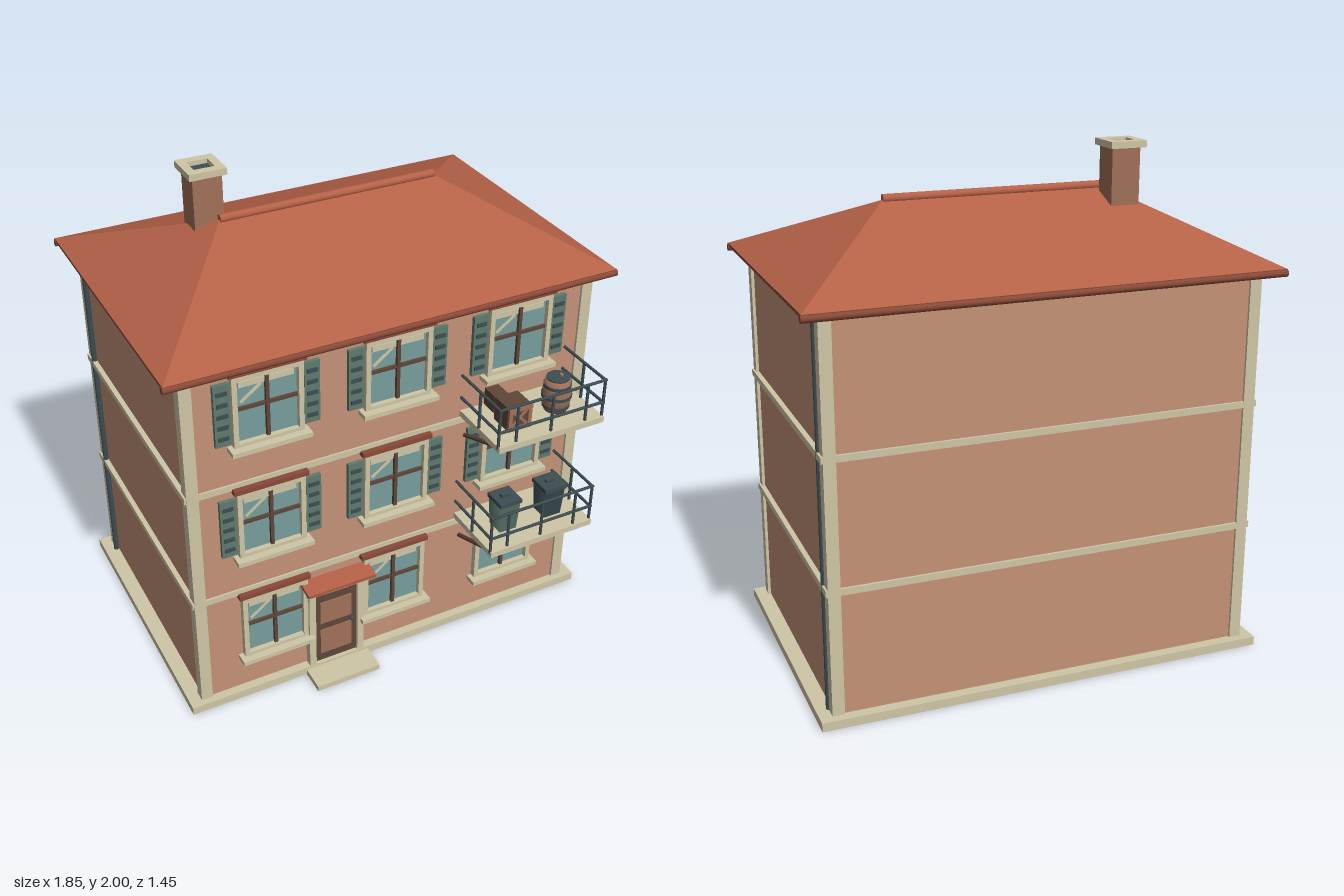
import * as THREE from 'three';

const mat = (name, color, side = THREE.FrontSide) => {
  const m = new THREE.MeshStandardMaterial({ color, side });
  m.name = name;
  return m;
};

export function createModel() {
  const M = {
    wall: mat('wall plaster', 0xc59277),
    trim: mat('cream trim', 0xcfc6a6),
    roof: mat('roof tile', 0xb56147),
    glass: mat('window glass', 0x789c9c),
    green: mat('shutter green', 0x5d7a6d),
    slate: mat('slate metal', 0x3d4e53),
    wood: mat('dark wood', 0x5e4638),
    brick: mat('brick', 0xa07058),
    rust: mat('rust red', 0x8a4a38),
    soffit: mat('eave brown', 0x4a3a32),
  };
  const house = new THREE.Group();
  house.name = 'house';

  const add = (parent, name, geo, m) => {
    const mesh = new THREE.Mesh(geo, m);
    mesh.name = name;
    parent.add(mesh);
    return mesh;
  };
  // Box given by its extents on each axis
  const box = (parent, name, m, x0, x1, y0, y1, z0, z1) => {
    const b = add(parent, name, new THREE.BoxGeometry(x1 - x0, y1 - y0, z1 - z0), m);
    b.position.set((x0 + x1) / 2, (y0 + y1) / 2, (z0 + z1) / 2);
    return b;
  };
  const group = (name, x, y, z) => {
    const g = new THREE.Group();
    g.name = name;
    g.position.set(x, y, z);
    house.add(g);
    return g;
  };
  // Round bar between two points
  const bar = (parent, name, m, a, b, r, sides = 8) => {
    const p = new THREE.Vector3(...a), q = new THREE.Vector3(...b);
    const t = add(parent, name, new THREE.CylinderGeometry(r, r, p.distanceTo(q), sides), m);
    t.position.copy(p).add(q).multiplyScalar(0.5);
    t.quaternion.setFromUnitVectors(new THREE.Vector3(0, 1, 0), q.sub(p).normalize());
    return t;
  };

  // Body, plinth, floor bands, corner posts, downpipes
  box(house, 'plinth', M.trim, -0.9, 0.9, 0, 0.035, -0.693, 0.476);
  box(house, 'walls', M.wall, -0.84, 0.84, 0.03, 1.545, -0.65, 0.44);
  for (const [y0, y1] of [[0.512, 0.538], [1.016, 1.042]])
    box(house, 'floorBand', M.trim, -0.86, 0.86, y0, y1, -0.66, 0.448);
  box(house, 'cornice', M.trim, -0.855, 0.855, 1.518, 1.537, -0.658, 0.446);
  for (const s of [-1, 1]) {
    const [xa, xb] = s > 0 ? [0.805, 0.852] : [-0.852, -0.805];
    box(house, 'frontCorner', M.trim, xa, xb, 0.035, 1.53, 0.403, 0.45);
    box(house, 'backCorner', M.trim, xa, xb, 0.035, 1.53, -0.66, -0.613);
    bar(house, 'downpipe', M.slate, [s * 0.849, 0.035, -0.598], [s * 0.849, 1.53, -0.598], 0.012);
  }

  // Hipped roof
  const L = [-0.92, 1.565, 0.5], R = [0.92, 1.565, 0.5], BL = [-0.92, 1.565, -0.72], BR = [0.92, 1.565, -0.72];
  const P = [-0.45, 1.81, -0.11], Q = [0.45, 1.81, -0.11];
  const tri = [L, R, Q, L, Q, P, BR, BL, P, BR, P, Q, BL, L, P, R, BR, Q];
  const hip = new THREE.BufferGeometry();
  hip.setAttribute('position', new THREE.Float32BufferAttribute(tri.flat(), 3));
  hip.computeVertexNormals();
  add(house, 'roof', hip, M.roof);
  box(house, 'roofEdge', M.rust, -0.92, 0.92, 1.553, 1.565, -0.72, 0.5);
  box(house, 'soffit', M.soffit, -0.905, 0.905, 1.535, 1.553, -0.705, 0.485);
  bar(house, 'ridgeTile', M.roof, [-0.452, 1.814, -0.11], [0.452, 1.814, -0.11], 0.017, 12);
  for (const z of [0.493, -0.713])
    bar(house, 'gutter', M.rust, [-0.923, 1.549, z], [0.923, 1.549, z], 0.015, 10);

  // Chimney with open cap
  box(house, 'chimney', M.brick, -0.537, -0.42, 1.56, 1.978, -0.252, -0.142);
  box(house, 'flue', M.slate, -0.525, -0.432, 1.976, 1.982, -0.245, -0.15);
  for (const [a, b, c, d] of [[-0.553, -0.405, -0.163, -0.126], [-0.553, -0.405, -0.275, -0.238],
    [-0.553, -0.519, -0.238, -0.163], [-0.438, -0.405, -0.238, -0.163]])
    box(house, 'chimneyCap', M.trim, a, b, 1.974, 2, c, d);

  // Windows; local origin at the glass centre on the wall face
  const windowAt = (x, y, shutters) => {
    const g = group('window', x, y, 0.44);
    box(g, 'pane', M.glass, -0.122, 0.122, -0.135, 0.135, 0, 0.005);
    for (const s of [-1, 1]) {
      const [a, b] = s > 0 ? [0.118, 0.138] : [-0.138, -0.118];
      box(g, 'jamb', M.trim, a, b, -0.15, 0.152, 0, 0.025);
    }
    box(g, 'frameTop', M.trim, -0.138, 0.138, 0.13, 0.153, 0, 0.025);
    box(g, 'frameBottom', M.trim, -0.138, 0.138, -0.15, -0.13, 0, 0.025);
    box(g, 'sill', M.trim, -0.157, 0.157, -0.163, -0.144, 0, 0.055);
    box(g, 'lintel', M.rust, -0.15, 0.15, 0.153, 0.173, 0, 0.03);
    box(g, 'mullion', M.wood, -0.007, 0.007, -0.13, 0.13, 0.003, 0.018);
    box(g, 'glazingBar', M.wood, -0.118, 0.118, 0.003, 0.016, 0.003, 0.016);
    box(g, 'blind', M.trim, -0.107, 0.107, 0.094, 0.117, 0.004, 0.009);
    const shine = box(g, 'reflection', M.trim, -0.05, 0.05, -0.006, 0.006, 0.004, 0.008);
    shine.position.set(-0.06, 0.062, 0.006);
    shine.rotation.z = 0.65;
    if (!shutters) return;
    for (const s of [-1, 1]) {
      const c = s * 0.174;
      box(g, 'shutter', M.green, c - 0.031, c + 0.031, -0.128, 0.13, 0, 0.016);
      for (let i = -2; i <= 2; i++)
        box(g, 'slat', M.slate, c - 0.021, c + 0.021, i * 0.047 - 0.008, i * 0.047 + 0.008, 0.014, 0.021);
    }
  };
  for (const x of [-0.525, 0, 0.525])
    for (let row = 0; row < 3; row++) windowAt(x, 0.346 + row * 0.504, row > 0);

  // Door, step and canopy
  const door = group('door', -0.264, 0, 0.44);
  box(door, 'step', M.trim, -0.14, 0.14, 0, 0.024, 0, 0.143);
  box(door, 'doorLeaf', M.wood, -0.095, 0.095, 0.035, 0.4, 0, 0.02);
  box(door, 'upperPanel', M.brick, -0.07, 0.07, 0.235, 0.345, 0.018, 0.025);
  box(door, 'lowerPanel', M.brick, -0.07, 0.07, 0.075, 0.2, 0.018, 0.025);
  const knob = add(door, 'knob', new THREE.SphereGeometry(0.01, 10, 8), M.slate);
  knob.position.set(0.07, 0.215, 0.028);
  box(door, 'doorJamb', M.trim, -0.122, -0.093, 0.035, 0.4, 0, 0.033);
  box(door, 'doorJamb', M.trim, 0.093, 0.122, 0.035, 0.4, 0, 0.033);
  box(door, 'doorHead', M.trim, -0.13, 0.13, 0.398, 0.437, 0, 0.036);
  const canopy = box(door, 'canopy', M.roof, -0.148, 0.148, 0.452, 0.468, 0, 0.085);
  canopy.rotation.x = 0.12;

  // Balconies; local origin on the slab top at the wall face
  const balcony = (y) => {
    const g = group('balcony', 0.523, y, 0.44);
    box(g, 'slab', M.trim, -0.237, 0.237, -0.025, 0, 0, 0.287);
    for (const h of [0.06, 0.16]) {
      bar(g, 'frontRail', M.slate, [-0.24, h, 0.273], [0.24, h, 0.273], 0.006);
      for (const s of [-1, 1]) bar(g, 'sideRail', M.slate, [s * 0.234, h, 0], [s * 0.234, h, 0.273], 0.006);
    }
    for (const x of [-0.234, -0.156, 0, 0.156, 0.234])
      bar(g, 'railPost', M.slate, [x, -0.01, 0.273], [x, 0.163, 0.273], 0.006);
    for (const s of [-1, 1]) {
      bar(g, 'railPost', M.slate, [s * 0.234, 0, 0.135], [s * 0.234, 0.16, 0.135], 0.006);
      bar(g, 'bracket', M.wood, [s * 0.208, -0.125, 0], [s * 0.208, -0.028, 0.245], 0.009);
    }
    return g;
  };

  // Lower balcony: two tapered bins with lids
  const low = balcony(0.568);
  for (const [x, m] of [[-0.105, M.green], [0.107, M.slate]]) {
    const body = add(low, 'bin', new THREE.CylinderGeometry(0.064, 0.054, 0.13, 4, 1).rotateY(Math.PI / 4), m);
    body.position.set(x, 0.07, 0.16);
    box(low, 'binLid', M.slate, x - 0.05, x + 0.05, 0.134, 0.152, 0.11, 0.21);
    box(low, 'binHandle', M.slate, x - 0.02, x + 0.02, 0.152, 0.163, 0.152, 0.168);
  }

  // Upper balcony: barrel, crate and small box
  const up = balcony(1.072);
  const profile = [[0, 0], [0.046, 0], [0.055, 0.04], [0.058, 0.07], [0.055, 0.1], [0.047, 0.14], [0, 0.14]];
  const barrel = add(up, 'barrel', new THREE.LatheGeometry(profile.map(p => new THREE.Vector2(...p)), 16), M.brick);
  barrel.position.set(0.1, 0.003, 0.155);
  for (const [h, r] of [[0.025, 0.0545], [0.07, 0.0605], [0.115, 0.0545]])
    add(up, 'barrelHoop', new THREE.CylinderGeometry(r, r, 0.013, 16), M.slate).position.set(0.1, h, 0.155);
  add(up, 'barrelLid', new THREE.CylinderGeometry(0.046, 0.046, 0.008, 16), M.slate).position.set(0.1, 0.144, 0.155);
  add(up, 'bung', new THREE.CylinderGeometry(0.008, 0.008, 0.01, 8), M.brick).position.set(0.115, 0.15, 0.155);
  box(up, 'crate', M.wood, -0.15, -0.05, 0, 0.1, 0.108, 0.205);
  for (const h of [0.006, 0.092]) box(up, 'crateRail', M.brick, -0.152, -0.048, h - 0.008, h + 0.008, 0.2, 0.215);
  for (const x of [-0.143, -0.057]) box(up, 'cratePost', M.brick, x - 0.008, x + 0.008, 0, 0.1, 0.2, 0.213);
  for (const s of [-1, 1]) {
    const brace = box(up, 'crateBrace', M.brick, -0.055, 0.055, -0.005, 0.005, 0.2, 0.21);
    brace.position.x = -0.1;
    brace.position.y = 0.05;
    brace.rotation.z = s * 0.78;
  }
  box(up, 'smallBox', M.wood, -0.13, -0.07, 0, 0.075, 0.004, 0.075);

  return house;
}
